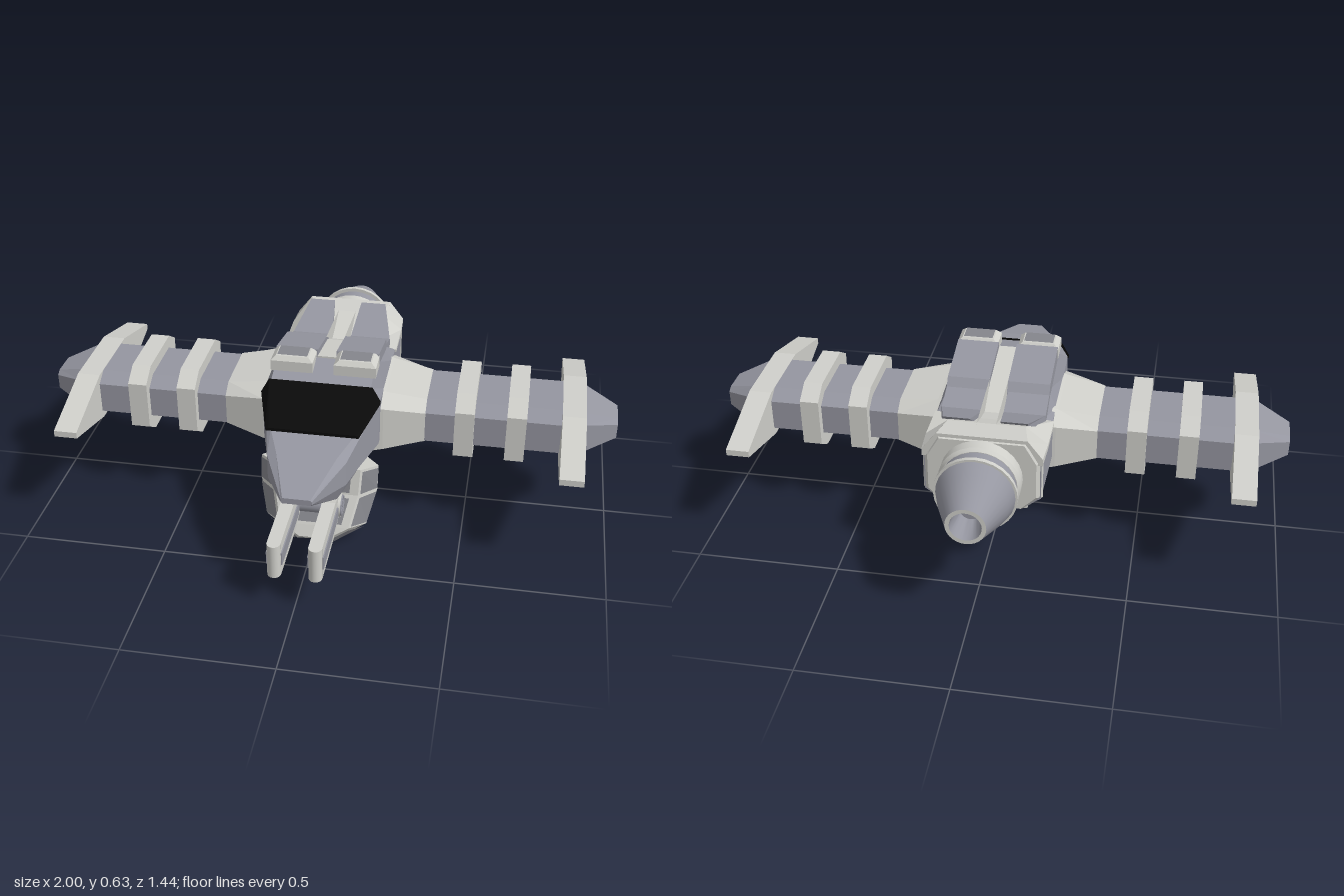
import * as THREE from 'three';
import { toCreasedNormals } from 'three/addons/utils/BufferGeometryUtils.js';

export function createModel() {
  const root = new THREE.Group();
  const mat = (name, color, side = THREE.FrontSide) => {
    const m = new THREE.MeshStandardMaterial({ color, side });
    m.name = name;
    return m;
  };
  const light = mat('pale grey', 0xd0d0cb);
  const grey = mat('blue grey', 0x9596a0);
  const black = mat('canopy black', 0x0a0a0a);
  const plateGrey = mat('panel grey', 0x85868c, THREE.DoubleSide);

  const add = (name, geo, material, parent = root) => {
    const m = new THREE.Mesh(geo, material);
    m.name = name;
    parent.add(m);
    return m;
  };
  const fromTriangles = (tris) => {
    const g = new THREE.BufferGeometry();
    g.setAttribute('position', new THREE.Float32BufferAttribute(tris.flat(2), 3));
    g.computeVertexNormals();
    return g;
  };

  // Flat-faced solid through a list of equal rings, with capped ends
  function loft(rings) {
    let tris = [];
    const n = rings[0].length;
    for (let r = 0; r < rings.length - 1; r++) {
      for (let i = 0; i < n; i++) {
        const j = (i + 1) % n, A = rings[r], B = rings[r + 1];
        tris.push([A[i], A[j], B[j]], [A[i], B[j], B[i]]);
      }
    }
    const first = rings[0], last = rings[rings.length - 1];
    for (let i = 1; i < n - 1; i++) {
      tris.push([first[0], first[i + 1], first[i]], [last[0], last[i], last[i + 1]]);
    }
    const volume = tris.reduce((s, [a, b, c]) => s +
      new THREE.Vector3(...a).dot(new THREE.Vector3(...b).cross(new THREE.Vector3(...c))), 0);
    if (volume < 0) tris = tris.map(([a, b, c]) => [a, c, b]);
    return fromTriangles(tris);
  }

  // Inset plate lying just above a four-cornered face
  function plate(name, corners, inset, centre, parent = root) {
    const v = corners.map((p) => new THREE.Vector3(...p));
    const mid = v.reduce((s, p) => s.add(p), new THREE.Vector3()).multiplyScalar(0.25);
    const normal = v[2].clone().sub(v[0]).cross(v[3].clone().sub(v[1])).normalize();
    if (normal.dot(mid.clone().sub(new THREE.Vector3(...centre))) < 0) normal.negate();
    const q = v.map((p) => p.lerp(mid, inset).addScaledVector(normal, 0.006).toArray());
    add(name, fromTriangles([[q[0], q[1], q[2]], [q[0], q[2], q[3]]]), plateGrey, parent);
  }

  // Symmetric ring at z from half-profile points [x, y]
  const mirrorRing = (z, half) => [
    ...half.map(([x, y]) => [x, y, z]),
    ...half.slice().reverse().map(([x, y]) => [-x, y, z]),
  ];
  const hullRing = ([z, wT, yT, wM, y1, y2, wB, yB]) =>
    mirrorRing(z, [[wT, yT], [wM, y1], [wM, y2], [wB, yB]]);

  // Side outline [z, y] extruded from x0 to x1
  const sidePrism = (outline, x0, x1) =>
    loft([x0, x1].map((x) => outline.map(([z, y]) => [x, y, z])));

  // Main hull
  add('hull', loft([
    [0.655, 0.045, 0.400, 0.05, 0.395, 0.385, 0.045, 0.38],
    [0.48, 0.10, 0.450, 0.13, 0.435, 0.35, 0.10, 0.29],
    [0.375, 0.14, 0.472, 0.155, 0.46, 0.35, 0.12, 0.28],
    [0.22, 0.17, 0.565, 0.20, 0.515, 0.35, 0.14, 0.28],
    [0.10, 0.17, 0.600, 0.20, 0.50, 0.35, 0.15, 0.26],
    [-0.10, 0.17, 0.555, 0.20, 0.50, 0.35, 0.15, 0.26],
    [-0.20, 0.17, 0.500, 0.20, 0.49, 0.35, 0.15, 0.285],
    [-0.425, 0.16, 0.490, 0.195, 0.48, 0.34, 0.14, 0.30],
  ].map(hullRing)), grey);

  // Wraparound canopy
  add('canopy', loft([
    mirrorRing(0.385, [[0.146, 0.481], [0.157, 0.476], [0.155, 0.470]]),
    mirrorRing(0.222, [[0.176, 0.572], [0.205, 0.520], [0.203, 0.508]]),
  ]), black);

  // Pale rear housing and its back collar
  add('rearHousing', loft([
    mirrorRing(-0.19, [[0.11, 0.505], [0.205, 0.495], [0.205, 0.485]]),
    mirrorRing(-0.34, [[0.13, 0.56], [0.205, 0.50], [0.205, 0.482]]),
    mirrorRing(-0.432, [[0.15, 0.565], [0.20, 0.50], [0.20, 0.475]]),
  ]), light);
  add('rearCollar', loft([
    mirrorRing(-0.415, [[0.15, 0.56], [0.20, 0.49], [0.20, 0.34], [0.14, 0.29]]),
    mirrorRing(-0.438, [[0.14, 0.55], [0.18, 0.48], [0.18, 0.35], [0.13, 0.30]]),
  ]), light);
  add('spine', sidePrism([[0.10, 0.606], [-0.10, 0.566], [-0.2, 0.515],
    [-0.36, 0.56], [-0.36, 0.48], [0.1, 0.5]], -0.032, 0.032), light);

  // Belly band and rear underside
  add('bellyBand', sidePrism([[0.17, 0.285], [0.10, 0.25], [-0.10, 0.25],
    [-0.17, 0.275], [-0.17, 0.32], [0.17, 0.32]], -0.16, 0.16), light);
  add('rearUnderside', sidePrism([[-0.15, 0.278], [-0.42, 0.292],
    [-0.42, 0.33], [-0.15, 0.33]], -0.15, 0.15), light);

  // Engine, turned about its long axis
  const engine = new THREE.Group();
  engine.name = 'engine';
  engine.position.set(0, 0.42, 0);
  root.add(engine);
  const turned = (name, pts, material) => {
    const g = new THREE.LatheGeometry(pts.map(([r, d]) => new THREE.Vector2(r, d)), 28);
    g.rotateX(-Math.PI / 2);
    add(name, toCreasedNormals(g, 0.5), material, engine);
  };
  turned('engineCollar', [[0, 0.43], [0.125, 0.43], [0.137, 0.44], [0.137, 0.48],
    [0.128, 0.492], [0, 0.492]], light);
  turned('engineDrum', [[0.126, 0.48], [0.126, 0.55]], grey);
  turned('engineRing', [[0.12, 0.537], [0.138, 0.537], [0.138, 0.552], [0.12, 0.552]], light);
  turned('engineNozzle', [[0.131, 0.55], [0.115, 0.60], [0.066, 0.718]], grey);
  turned('nozzleLip', [[0.066, 0.718], [0.052, 0.718]], light);
  turned('nozzleBore', [[0.052, 0.718], [0.035, 0.63], [0, 0.63]], grey);

  // Octagonal ring at x: half depth, half height, and their chamfered values
  const octagon = (x, hz, hy, cz, cy, y = 0.39) =>
    [[hz, cy], [cz, hy], [-cz, hy], [-hz, cy], [-hz, -cy], [-cz, -hy], [cz, -hy], [hz, -cy]]
      .map(([z, dy]) => [x, y + dy, z]);

  for (const s of [1, -1]) {
    // Wing
    const wing = new THREE.Group();
    wing.name = s > 0 ? 'leftWing' : 'rightWing';
    root.add(wing);
    add('wingRoot', loft([
      octagon(s * 0.15, 0.20, 0.125, 0.13, 0.09),
      octagon(s * 0.21, 0.19, 0.110, 0.12, 0.08),
      octagon(s * 0.35, 0.152, 0.086, 0.105, 0.055),
    ]), light, wing);
    add('wingTube', loft([0.34, 0.83].map((x) => octagon(s * x, 0.15, 0.085, 0.10, 0.055))), grey, wing);
    for (const x of [0.485, 0.66]) {
      add('wingBand', loft([-0.033, 0.033].map((d) =>
        octagon(s * (x + d), 0.18, 0.127, 0.115, 0.085))), light, wing);
    }
    add('endPlate', sidePrism([[0.405, 0.40], [0.14, 0.476], [-0.14, 0.476], [-0.405, 0.40],
      [-0.405, 0.378], [-0.14, 0.305], [0.14, 0.305], [0.405, 0.378]], s * 0.81, s * 0.89), light, wing);
    add('wingTip', loft([
      octagon(s * 0.88, 0.138, 0.082, 0.10, 0.055),
      octagon(s * 1.0, 0.065, 0.038, 0.045, 0.026),
    ]), grey, wing);

    // Top pod with its swept tail blade
    add('topPod', sidePrism([[0.09, 0.625], [-0.10, 0.583], [-0.125, 0.552],
      [-0.125, 0.53], [0.10, 0.575]], s * 0.032, s * 0.178), grey);
    const blade = (x0, x1, x2, x3) => loft([
      [[x0, 0.565, -0.09], [x1, 0.565, -0.09], [x1, 0.50, -0.09], [x0, 0.50, -0.09]],
      [[x0, 0.527, -0.21], [x1, 0.527, -0.21], [x1, 0.485, -0.22], [x0, 0.485, -0.22]],
      [[x2, 0.588, -0.365], [x3, 0.588, -0.365], [x3, 0.575, -0.355], [x2, 0.575, -0.355]],
    ]);
    add('tailBlade', blade(s * 0.035, s * 0.178, s * 0.05, s * 0.14), grey);

    // Roof pad with grey lid
    const padRing = (y, w, d) => [[w, d], [-w, d], [-w, -d], [w, -d]]
      .map(([x, z]) => [s * 0.108 + x, y, 0.13 + z]);
    add('roofPad', loft([padRing(0.58, 0.072, 0.046), padRing(0.617, 0.072, 0.046),
      padRing(0.632, 0.056, 0.034)]), light);
    plate('roofPadLid', padRing(0.629, 0.056, 0.034), 0.08, [0, 0.4, 0.13]);

    // Belly pod
    add('bellyPod', sidePrism([[-0.19, 0.265], [-0.38, 0.282], [-0.40, 0.31], [-0.17, 0.31]],
      s * 0.03, s * 0.135), grey);
  }

  // Chin turret: tapering slanted shell with inset panels
  const chin = new THREE.Group();
  chin.name = 'chinTurret';
  root.add(chin);
  const chinRing = (front, side, back) => {
    const half = [front, side, back];
    return [...half, ...half.slice().reverse().map(([x, y, z]) => [-x, y, z])];
  };
  const chinRings = [
    chinRing([0.15, 0.285, 0.295], [0.205, 0.275, 0.24], [0.10, 0.258, 0.11]),
    chinRing([0.145, 0.19, 0.312], [0.205, 0.19, 0.255], [0.10, 0.19, 0.135]),
    chinRing([0.12, 0.085, 0.365], [0.175, 0.075, 0.31], [0.075, 0.085, 0.18]),
    chinRing([0.05, 0.045, 0.382], [0.06, 0.02, 0.36], [0.045, 0.008, 0.325]),
  ];
  add('chinShell', loft(chinRings), light, chin);
  const chinCentre = [0, 0.16, 0.25];
  for (const [a, b] of [[0, 1], [1, 2], [2, 3]]) {
    for (const i of [0, 1, 3, 4]) {
      const A = chinRings[a], B = chinRings[b];
      plate('chinPanel', [A[i], A[i + 1], B[i + 1], B[i]], 0.13, chinCentre, chin);
    }
  }
  for (const k of [0, 1]) {
    const A = chinRings[k], B = chinRings[k + 1];
    plate('chinFrontPanel', [A[5], A[0], B[0], B[5]], 0.2, chinCentre, chin);
  }

  // Twin guns on a shared pivot
  const guns = new THREE.Group();
  guns.name = 'twinGuns';
  root.add(guns);
  const axle = new THREE.CylinderGeometry(0.034, 0.034, 0.1, 16);
  axle.rotateZ(Math.PI / 2);
  add('gunAxle', axle, grey, guns).position.set(0, 0.19, 0.375);
  for (const s of [1, -1]) {
    add('gunBar', sidePrism([[0.697, 0.25], [0.45, 0.25], [0.40, 0.235], [0.31, 0.225], [0.30, 0.16],
      [0.40, 0.145], [0.45, 0.128], [0.697, 0.128]], s * 0.045, s * 0.09), light, guns);
    add('gunNose', new THREE.CylinderGeometry(0.0225, 0.0225, 0.122, 14), light, guns)
      .position.set(s * 0.0675, 0.189, 0.697);
    add('gunStrip', sidePrism([[0.695, 0.212], [0.42, 0.212], [0.405, 0.188], [0.42, 0.165], [0.695, 0.165]],
      s * 0.041, s * 0.094), grey, guns);
    const disc = new THREE.CylinderGeometry(0.04, 0.04, 0.014, 20);
    disc.rotateZ(Math.PI / 2);
    add('pivotDisc', disc, light, guns).position.set(s * 0.092, 0.19, 0.375);
    add('pivotRim', new THREE.TorusGeometry(0.032, 0.005, 6, 20).rotateY(Math.PI / 2), grey, guns)
      .position.set(s * 0.099, 0.19, 0.375);
    for (let i = 0; i < 4; i++) {
      const spoke = add('pivotSpoke', new THREE.BoxGeometry(0.006, 0.06, 0.006), grey, guns);
      spoke.position.set(s * 0.099, 0.19, 0.375);
      spoke.rotation.x = (i * Math.PI) / 4;
    }
  }
  return root;
}
